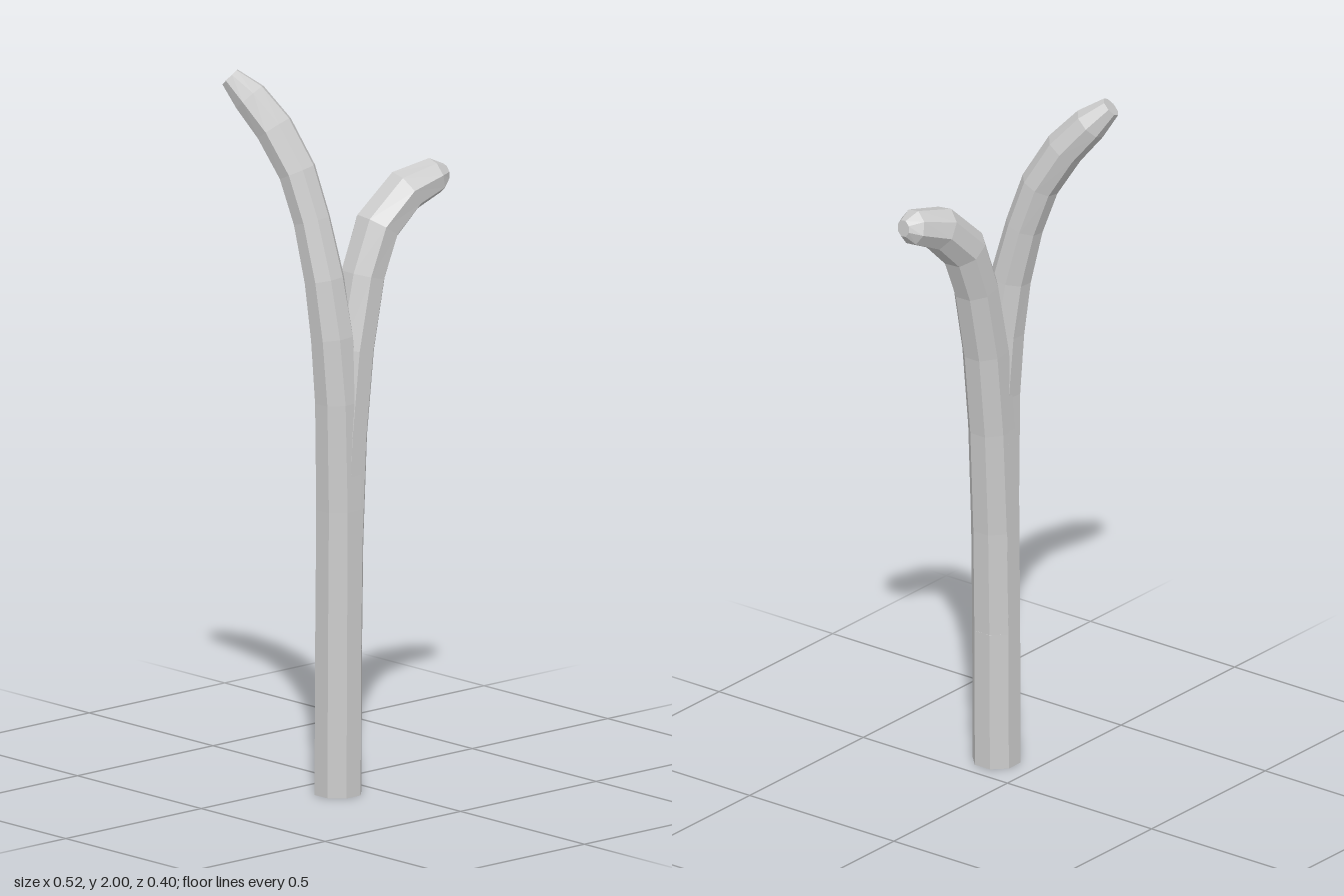
import * as THREE from 'three';

const SIDES = 8;
const UP = new THREE.Vector3(0, 1, 0);

// Capped faceted limb through stations [x, y, z, radius]; rings turn to follow the path
function limb(name, stations, material) {
  const centres = stations.map(([x, y, z]) => new THREE.Vector3(x, y, z));
  const last = centres.length - 1;
  const positions = [];
  const indices = [];
  centres.forEach((c, i) => {
    const tangent = i === 0 ? UP.clone()
      : centres[Math.min(i + 1, last)].clone().sub(centres[i - 1]).normalize();
    const turn = new THREE.Quaternion().setFromUnitVectors(UP, tangent);
    for (let k = 0; k < SIDES; k++) {
      const a = ((k + 0.5) / SIDES) * Math.PI * 2;
      const p = new THREE.Vector3(Math.sin(a), 0, Math.cos(a))
        .multiplyScalar(stations[i][3]).applyQuaternion(turn).add(c);
      positions.push(p.x, p.y, p.z);
    }
  });
  for (let i = 0; i < last; i++) {
    for (let k = 0; k < SIDES; k++) {
      const a = i * SIDES + k;
      const b = i * SIDES + (k + 1) % SIDES;
      indices.push(a, b, b + SIDES, a, b + SIDES, a + SIDES);
    }
  }
  // End caps
  const top = last * SIDES;
  for (let k = 1; k < SIDES - 1; k++) {
    indices.push(0, k + 1, k, top, top + k, top + k + 1);
  }
  const geometry = new THREE.BufferGeometry();
  geometry.setAttribute('position', new THREE.Float32BufferAttribute(positions, 3));
  geometry.setIndex(indices);
  geometry.computeVertexNormals();
  const mesh = new THREE.Mesh(geometry, material);
  mesh.name = name;
  return mesh;
}

export function createModel() {
  const group = new THREE.Group();
  group.name = 'forkedBranch';
  const material = new THREE.MeshStandardMaterial({ color: 0xcccccc, flatShading: true });

  // Straight lower stem
  group.add(limb('stem', [
    [-0.106, 0, 0.121, 0.068],
    [-0.104, 0.4, 0.121, 0.068],
  ], material));

  // Taller fork, sweeping up and backwards
  group.add(limb('backFork', [
    [-0.104, 0.4, 0.121, 0.068],
    [-0.101, 0.8, 0.121, 0.067],
    [-0.106, 1.1, 0.119, 0.065],
    [-0.115, 1.28, 0.108, 0.062],
    [-0.126, 1.44, 0.087, 0.057],
    [-0.136, 1.6, 0.048, 0.053],
    [-0.15, 1.73, 0.005, 0.054],
    [-0.176, 1.845, -0.06, 0.055],
    [-0.206, 1.925, -0.125, 0.05],
    [-0.236, 1.978, -0.173, 0.03],
  ], material));

  // Shorter fork, bending out to the left
  group.add(limb('sideFork', [
    [-0.104, 0.4, 0.121, 0.068],
    [-0.098, 0.7, 0.121, 0.067],
    [-0.082, 1.0, 0.12, 0.066],
    [-0.055, 1.24, 0.119, 0.066],
    [-0.012, 1.44, 0.119, 0.064],
    [0.036, 1.57, 0.124, 0.066],
    [0.125, 1.657, 0.139, 0.063],
    [0.218, 1.687, 0.158, 0.05],
    [0.25, 1.692, 0.164, 0.024],
  ], material));

  return group;
}
